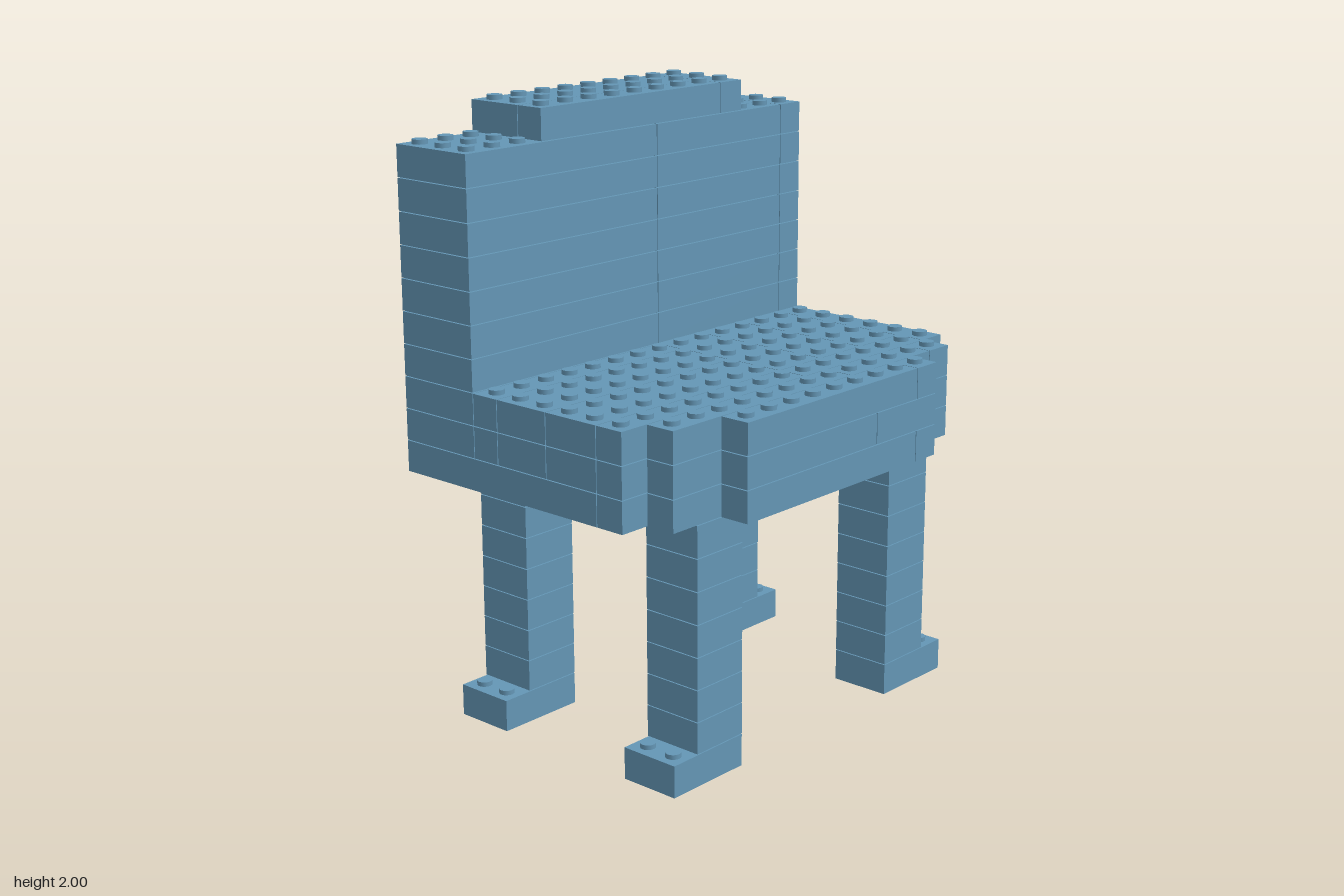
import * as THREE from 'three';
import { mergeGeometries } from 'three/addons/utils/BufferGeometryUtils.js';

const P = 0.1042;      // stud pitch
const STUD_H = 0.015;
const H = (2 - STUD_H) / 19; // brick layer height
const GAP = 0.003;     // seam between bricks
const COLS = 15, ROWS = 11;

// A brick is [layer, firstColumn, endColumn, firstRow, endRow]; rows run back to front.
const parts = {};
const add = (part, ...brick) => (parts[part] ??= []).push(brick);

// Four legs, each with a foot pointing outwards
for (const [side, col, foot0, foot1] of [['right', 2, 1, 4], ['left', 11, 11, 14]]) {
  for (const [end, row] of [['back', 1], ['front', 8]]) {
    add(`${end}_${side}_foot`, 0, foot0, foot1, row, row + 2);
    for (let l = 1; l < 8; l++) add(`${end}_${side}_leg`, l, col, col + 2, row, row + 2);
  }
}

// Seat: three layers with a stepped front edge
for (let l = 8; l < 11; l++) {
  if (l === 8) {
    for (let c = 0; c < 8; c += 2) add('seat', l, c, c + 2, 0, 8);
  } else {
    for (const [r0, r1] of [[0, 3], [3, 4], [4, 6], [6, 8]]) add('seat', l, 0, 8, r0, r1);
  }
  for (let c = 8; c < 14; c += 2) add('seat', l, c, c + 2, 0, 8);
  add('seat', l, 0, 8, 8, 9);
  add('seat', l, 8, 14, 8, 9);
  add('seat', l, 14, 15, 0, 9);
  for (const [c0, c1] of [[1, 9], [9, 13], [13, 14]]) add('seat', l, c0, c1, 9, 10);
  const split = l === 9 ? 9 : 11;
  add('seat', l, 3, split, 10, 11);
  add('seat', l, split, 12, 10, 11);
}

// Backrest: seven layers
for (let l = 11; l < 18; l++) {
  add('backrest', l, 0, 8, 0, 3);
  add('backrest', l, 8, 14, 0, 2);
  add('backrest', l, 8, 14, 2, 3);
  add('backrest', l, 14, 15, 0, 3);
}

// Raised top rail
add('topRail', 18, 3, 11, 0, 2);
add('topRail', 18, 3, 11, 2, 3);
add('topRail', 18, 11, 12, 0, 3);

export function createModel() {
  const group = new THREE.Group();
  const blue = new THREE.MeshStandardMaterial({ color: 0x6496b5 });
  blue.name = 'greyBlue';

  // Mark filled cells so studs appear only where nothing sits above
  const filled = new Set();
  const eachCell = ([l, c0, c1, r0, r1], fn) => {
    for (let c = c0; c < c1; c++) for (let r = r0; r < r1; r++) fn(l, c, r);
  };
  for (const bricks of Object.values(parts))
    for (const b of bricks) eachCell(b, (l, c, r) => filled.add(`${l},${c},${r}`));

  const px = c => (c - COLS / 2) * P;
  const pz = r => (r - ROWS / 2) * P;

  for (const [name, bricks] of Object.entries(parts)) {
    const solids = [], studs = [];
    for (const b of bricks) {
      const [l, c0, c1, r0, r1] = b;
      const box = new THREE.BoxGeometry((c1 - c0) * P - GAP, H - GAP, (r1 - r0) * P - GAP);
      // The gap lies below each brick, except on the ground
      const lift = l === 0 ? 0 : GAP;
      if (l === 0) box.scale(1, H / (H - GAP), 1);
      box.translate(px((c0 + c1) / 2), l * H + (H + lift) / 2, pz((r0 + r1) / 2));
      solids.push(box);
      eachCell(b, (ly, c, r) => {
        if (filled.has(`${ly + 1},${c},${r}`)) return;
        const stud = new THREE.CylinderGeometry(0.025, 0.025, STUD_H, 16);
        stud.translate(px(c + 0.5), (ly + 1) * H + STUD_H / 2, pz(r + 0.5));
        studs.push(stud);
      });
    }
    const part = new THREE.Group();
    part.name = name;
    for (const [kind, list] of [['bricks', solids], ['studs', studs]]) {
      if (!list.length) continue;
      const mesh = new THREE.Mesh(mergeGeometries(list), blue);
      mesh.name = `${name}_${kind}`;
      part.add(mesh);
    }
    group.add(part);
  }
  return group;
}
